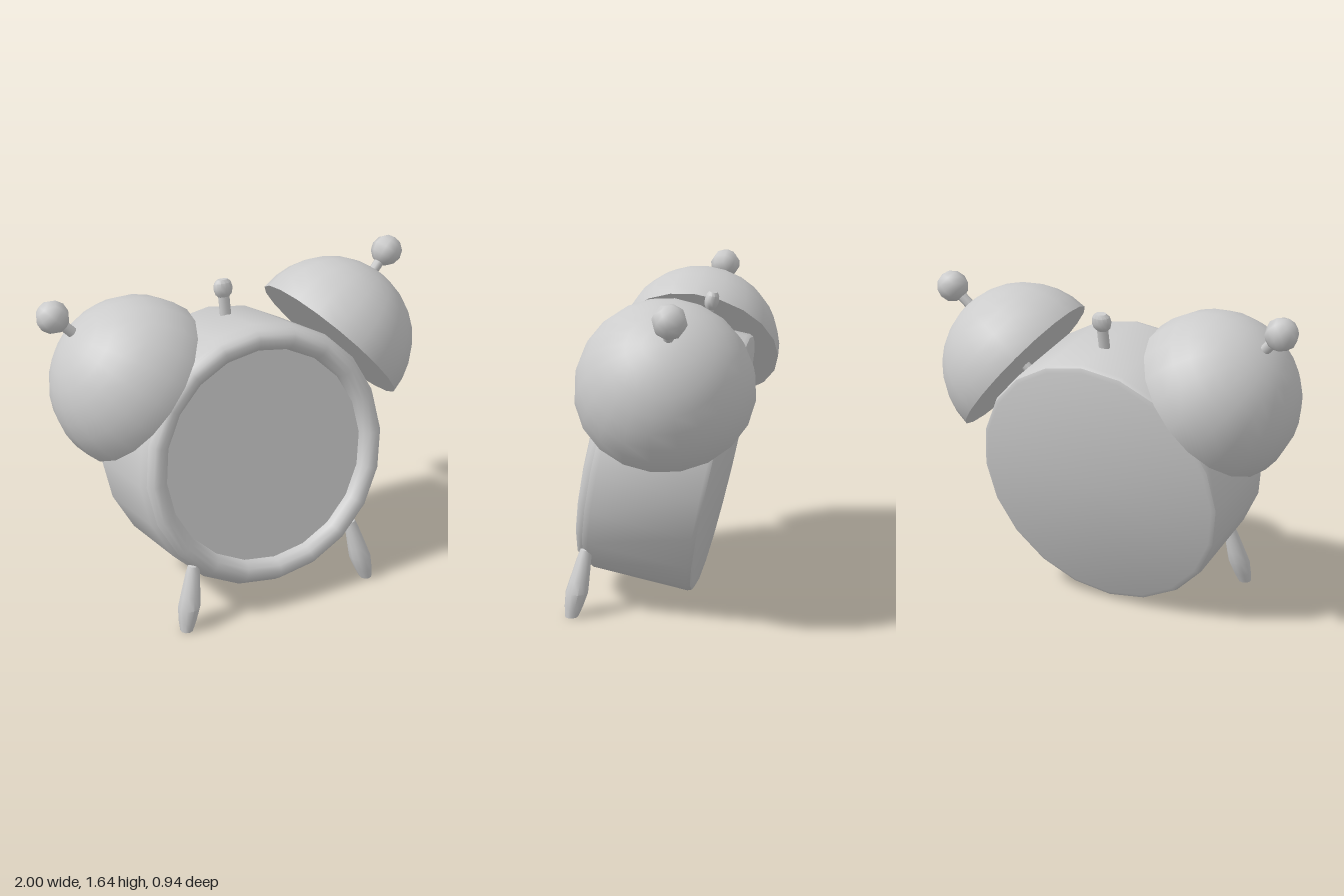
import * as THREE from 'three';
import { toCreasedNormals } from 'three/addons/utils/BufferGeometryUtils.js';

const UP = new THREE.Vector3(0, 1, 0);
const TILT = 0.2; // the case leans back

export function createModel() {
  const root = new THREE.Group();
  const mat = new THREE.MeshStandardMaterial({ color: 0xcccccc });
  const v = (x, y, z) => new THREE.Vector3(x, y, z);

  const add = (name, geometry, parent = root) => {
    const mesh = new THREE.Mesh(geometry, mat);
    mesh.name = name;
    parent.add(mesh);
    return mesh;
  };
  const lathe = (points, sides) =>
    toCreasedNormals(new THREE.LatheGeometry(points.map(p => new THREE.Vector2(...p)), sides), 0.7);
  const rod = (name, from, to, radius, parent) => {
    const dir = to.clone().sub(from);
    const mesh = add(name, new THREE.CylinderGeometry(radius, radius, dir.length(), 8), parent);
    mesh.position.copy(from).add(to).multiplyScalar(0.5);
    mesh.quaternion.setFromUnitVectors(UP, dir.normalize());
    return mesh;
  };

  // Case: one turned drum with a softened back edge, a rounded front rim and a recessed dial
  const clock = new THREE.Group();
  clock.name = 'clockCase';
  clock.position.set(0, 0.675, -0.255);
  clock.rotation.x = Math.PI / 2 - TILT;
  root.add(clock);
  add('drum', lathe([[0, 0], [0.645, 0], [0.666, 0.01], [0.675, 0.03], [0.675, 0.53], [0.655, 0.565]], 20), clock);
  add('rim', lathe([[0.66, 0.55], [0.652, 0.575], [0.632, 0.6], [0.605, 0.61],
    [0.575, 0.6], [0.553, 0.575], [0.545, 0.54]], 20), clock);
  add('dial', lathe([[0.56, 0.54], [0, 0.54]], 20), clock);

  // Bells, each on a post ending in a knob
  for (const s of [1, -1]) {
    const bell = new THREE.Group();
    bell.name = s > 0 ? 'leftBell' : 'rightBell';
    root.add(bell);
    const dome = new THREE.Group();
    dome.position.set(s * 0.54, 1.175, -0.042);
    dome.quaternion.setFromUnitVectors(UP, v(s * 0.755, 0.65, -0.09).normalize());
    bell.add(dome);
    add('bellDome', new THREE.SphereGeometry(0.43, 20, 8, 0, Math.PI * 2, 0, Math.PI / 2), dome);
    add('bellUnderside', new THREE.CircleGeometry(0.43, 20), dome).rotation.x = Math.PI / 2;

    const tip = v(s * 0.922, 1.567, -0.128);
    rod('bellPost', v(s * 0.4, 1.03, -0.01), tip, 0.026, bell);
    const knob = add('bellKnob', new THREE.SphereGeometry(0.081, 8, 6), bell);
    knob.position.copy(tip);
    knob.quaternion.setFromUnitVectors(UP, v(s * 0.69, 0.71, -0.15).normalize());
  }

  // Top button with a flattened head
  const button = new THREE.Group();
  button.name = 'topButton';
  button.position.set(0, 1.32, -0.145);
  button.rotation.x = -TILT;
  button.scale.z = 0.7;
  root.add(button);
  add('buttonStem', new THREE.CylinderGeometry(0.03, 0.03, 0.18, 10), button).position.y = 0.09;
  add('buttonHead', lathe([[0, 0.15], [0.026, 0.15], [0.045, 0.17], [0.052, 0.197],
    [0.046, 0.225], [0.03, 0.242], [0, 0.242]], 12), button);

  // Front legs: turned pegs sheared outwards and forwards so the feet stay level
  for (const s of [1, -1]) {
    const g = lathe([[0, 0], [0.033, 0], [0.046, 0.05], [0.057, 0.12], [0.05, 0.18],
      [0.036, 0.29], [0.028, 0.33], [0, 0.338]], 10);
    const p = g.attributes.position;
    for (let i = 0; i < p.count; i++) {
      const y = p.getY(i);
      p.setX(i, p.getX(i) + s * (0.523 - 0.22 * y));
      p.setZ(i, p.getZ(i) + 0.435 - 0.19 * y);
    }
    add(s > 0 ? 'leftLeg' : 'rightLeg', toCreasedNormals(g, 0.7));
  }
  return root;
}
